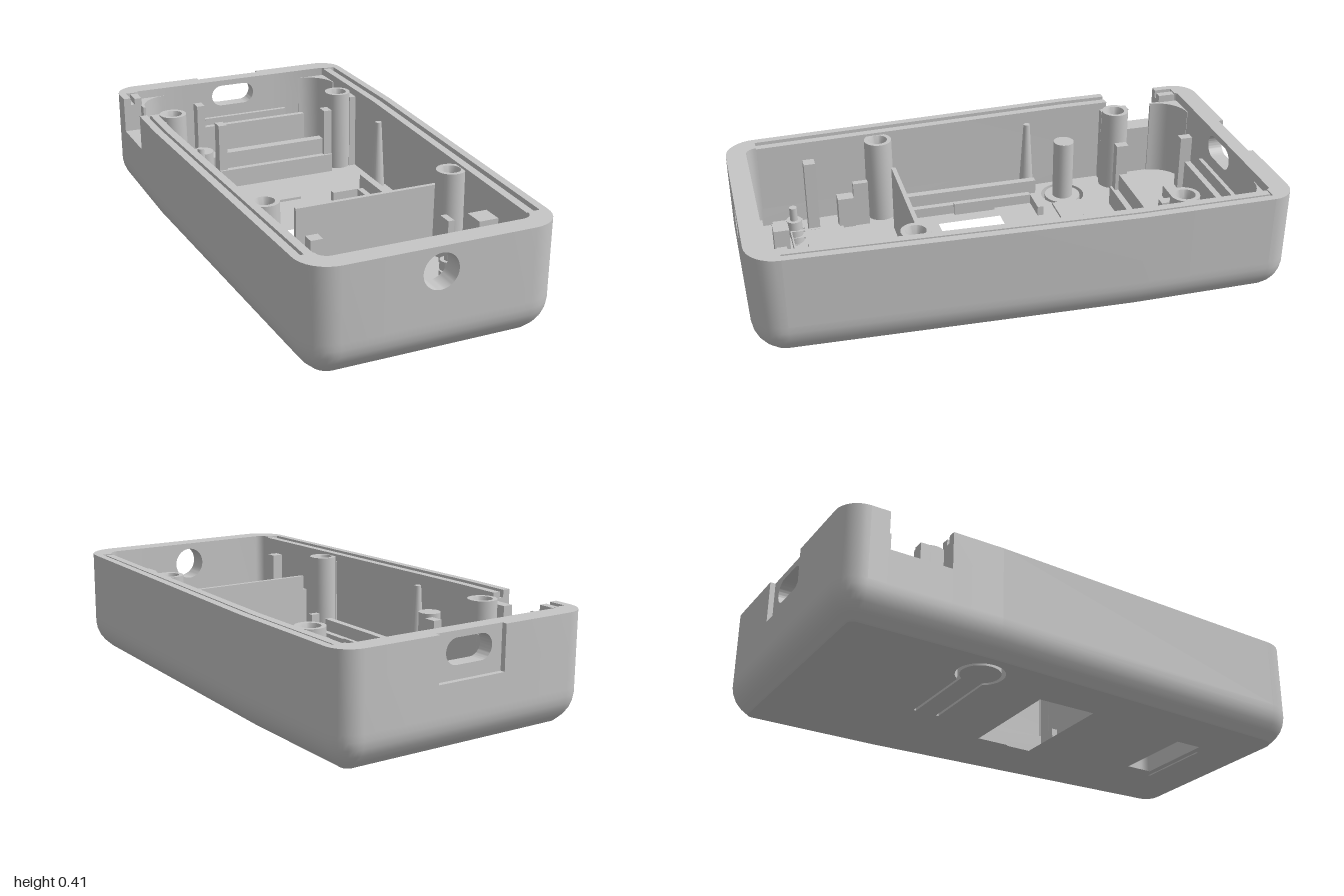
import * as THREE from 'three';
import { toCreasedNormals } from 'three/addons/utils/BufferGeometryUtils.js';

const TOP = 0.405, WALL = 0.078, FLOOR = 0.05, BOWL = 0.13;

// Half of the tapered plan outline as [x, z], from back to front, inset by d
function half(d) {
  const pts = [[0.2, -1 + d]];
  const arc = (cx, cz, r, a0) => {
    for (let i = 0; i <= 8; i++) {
      const a = a0 + (i / 8) * Math.PI / 2;
      pts.push([cx + Math.cos(a) * r, cz + Math.sin(a) * r]);
    }
  };
  arc(0.433, -0.91, 0.09 - d, -Math.PI / 2);
  for (const z of [-0.84, -0.6, -0.4]) pts.push([0.523 - d, z]);
  arc(0.35, 0.88, 0.12 - d, 0);
  pts.push([0.2, 1 - d]);
  return pts;
}
const mirrored = (pts) => pts.map(([x, z]) => [-x, z]);
const ring = (d) => [...half(d), ...mirrored(half(d)).reverse()];
const planShape = (pts) => new THREE.Shape(pts.map(([x, z]) => new THREE.Vector2(x, -z)));
const rectPts = (x0, x1, z0, z1) => [[x0, z0], [x1, z0], [x1, z1], [x0, z1]];

function extrudeUp(shape, y0, y1) {
  const g = new THREE.ExtrudeGeometry(shape, { depth: y1 - y0, bevelEnabled: false, curveSegments: 20 });
  g.rotateX(-Math.PI / 2).translate(0, y0, 0);
  return toCreasedNormals(g, 0.5);
}

// Closed surface through stacked rings [inset, y]
function loft(levels) {
  const rings = levels.map(([d, y]) => ring(d).map(([x, z]) => [x, y, z]));
  const pos = [];
  for (let k = 0; k < rings.length - 1; k++) {
    const A = rings[k], B = rings[k + 1], n = A.length;
    for (let i = 0; i < n; i++) {
      const j = (i + 1) % n;
      pos.push(...A[i], ...B[i], ...A[j], ...A[j], ...B[i], ...B[j]);
    }
  }
  const g = new THREE.BufferGeometry();
  g.setAttribute('position', new THREE.Float32BufferAttribute(pos, 3));
  g.computeVertexNormals();
  return toCreasedNormals(g, 0.5);
}

export function createModel() {
  const model = new THREE.Group();
  model.name = 'enclosureHalf';
  const plastic = new THREE.MeshStandardMaterial({ color: 0xc6c6c6 });
  plastic.name = 'greyPlastic';
  const add = (name, geo) => {
    const m = new THREE.Mesh(geo, plastic);
    m.name = name;
    model.add(m);
    return m;
  };
  const box = (name, x0, x1, y0, y1, z0, z1) =>
    add(name, new THREE.BoxGeometry(x1 - x0, y1 - y0, z1 - z0)
      .translate((x0 + x1) / 2, (y0 + y1) / 2, (z0 + z1) / 2));

  // Rounded lower edge
  add('lowerEdge', loft([[0.065, 0], [0.034, 0.028], [0.016, 0.052], [0.005, 0.078], [0, 0.105],
    [0, BOWL], [WALL - 0.001, BOWL], [WALL - 0.001, FLOOR - 0.01]]));

  // Floor in two layers, so that the display window is stepped; a slit frees the push tongue
  const kx = -0.33, kz = -0.375;
  const slit = () => {
    const p = [[0.07, kz - 0.053]], open = 0.6;
    const arc = (r, a0, a1) => {
      for (let i = 0; i <= 24; i++) {
        const a = a0 + (a1 - a0) * i / 24;
        p.push([kx + r * Math.cos(a), kz + r * Math.sin(a)]);
      }
    };
    arc(0.09, -open, -2 * Math.PI + open);
    p.push([0.07, kz + 0.053], [0.07, kz + 0.042]);
    arc(0.074, -2 * Math.PI + open, -open);
    p.push([0.07, kz - 0.042]);
    return p;
  };
  for (const [y0, y1, e] of [[0, 0.025, 0.012], [0.025, FLOOR, 0]]) {
    const s = planShape(ring(0.065));
    s.holes.push(planShape(rectPts(-0.25 - e, 0.24 + e, -0.07 - e, 0.19 + e)));
    s.holes.push(planShape(rectPts(-0.21, 0.205, 0.6, 0.785)));
    s.holes.push(planShape(slit()));
    add('floor', extrudeUp(s, y0, y1));
  }
  box('tonguePlate', -0.25, 0.07, FLOOR - 0.005, 0.06, -0.45, -0.305);
  add('pushPin', new THREE.CylinderGeometry(0.042, 0.042, 0.27, 24).translate(kx, 0.165, kz));

  // Side walls: plain corners, grooved rims and a low notch on the right side
  const strip = (side, i0, i1, d0, d1, h) => {
    const p = [...half(d0).slice(i0, i1 + 1), ...half(d1).slice(i0, i1 + 1).reverse()];
    add('sideWall', extrudeUp(planShape(side < 0 ? mirrored(p) : p), BOWL, h));
  };
  const grooved = (side, i0, i1) => {
    strip(side, i0, i1, 0, 0.03, TOP);
    strip(side, i0, i1, 0.03, 0.047, 0.375);
    strip(side, i0, i1, 0.047, WALL, 0.4);
  };
  for (const side of [1, -1]) {
    strip(side, 0, 9, 0, WALL, TOP);
    strip(side, 13, 22, 0, WALL, TOP);
  }
  grooved(1, 9, 13);
  grooved(-1, 9, 10);
  strip(-1, 10, 11, 0, WALL, 0.26);
  grooved(-1, 11, 13);

  // End walls with cable hole and connector slot
  const panel = (name, pts, hole, z0, z1) => {
    const s = new THREE.Shape(pts.map(([x, y]) => new THREE.Vector2(x, y)));
    if (hole) s.holes.push(hole);
    const g = new THREE.ExtrudeGeometry(s, { depth: z1 - z0, bevelEnabled: false, curveSegments: 24 });
    add(name, toCreasedNormals(g.translate(0, 0, z0), 0.5));
  };
  const full = rectPts(-0.2, 0.2, BOWL, TOP);
  panel('frontWall', full, new THREE.Path().absarc(0, 0.315, 0.066, 0, Math.PI * 2), 1 - WALL, 1);
  const slot = new THREE.Path();
  slot.absarc(0.052, 0.335, 0.046, -Math.PI / 2, Math.PI / 2);
  slot.absarc(-0.052, 0.335, 0.046, Math.PI / 2, Math.PI * 1.5);
  panel('backWall', full, slot, -0.98, -1 + WALL);
  panel('backWallRecess', [[-0.2, BOWL], [0.2, BOWL], [0.2, TOP], [0.14, TOP], [0.14, 0.24],
    [-0.14, 0.24], [-0.14, TOP], [-0.2, TOP]], null, -1, -0.98);

  // Profile of a hollow screw boss, from the outer foot up and down into the bore
  const boss = [[0.058, 0.04], [0.055, 0.39], [0.038, 0.39], [0.028, 0.36], [0.028, 0.1], [0.0005, 0.1]]
    .map(([r, y]) => new THREE.Vector2(r, y));
  // Rounded filling of an inner back corner
  const corner = [[0.45, -0.8], [0.45, -0.93], [0.32, -0.93]];
  for (let i = 0; i <= 10; i++) {
    const a = -Math.PI / 2 + (i / 10) * Math.PI / 2;
    corner.push([0.32 + 0.12 * Math.cos(a), -0.8 + 0.12 * Math.sin(a)]);
  }

  for (const s of [1, -1]) {
    const pair = (name, x0, x1, y0, y1, z0, z1) =>
      box(name, s > 0 ? x0 : -x1, s > 0 ? x1 : -x0, y0, y1, z0, z1);
    // Screw bosses, webbed to the walls
    for (const [x, z, edge] of [[0.377, -0.615, 0.455], [0.37, 0.4, 0.425]]) {
      add('screwBoss', toCreasedNormals(new THREE.LatheGeometry(boss, 24), 0.5)).position.set(s * x, 0, z);
      pair('bossWeb', x + 0.04, edge, 0.045, 0.37, z - 0.045, z + 0.045);
    }
    add('cornerFilling', extrudeUp(planShape(s < 0 ? mirrored(corner) : corner), 0.045, 0.37));
    // Tapered locating pegs
    add('locatingPeg', new THREE.CylinderGeometry(0.013, 0.032, 0.32, 16).translate(s * 0.387, 0.21, -0.23));
    // Shelves, rails, ribs and hooks along each side
    pair('sideShelf', 0.29, 0.42, 0.045, 0.09, -0.22, 0.35);
    pair('sideRail', 0.315, 0.345, 0.07, 0.14, -0.25, 0.3);
    pair('windowCheek', 0.275, 0.292, 0.045, 0.1, -0.06, 0.11);
    pair('crossRib', 0.18, 0.3, 0.045, 0.09, -0.245, -0.22);
    pair('cornerStop', 0.26, 0.3, 0.045, 0.16, 0.32, 0.345);
    pair('frontHook', 0.3, 0.325, 0.045, 0.24, 0.46, 0.52);
  }

  // Divider and holders across the back bay
  box('divider', -0.24, 0.34, 0.045, 0.325, 0.355, 0.372);
  box('holderBar', -0.2, 0.32, 0.045, 0.2, -0.605, -0.565);
  box('holderStep', -0.2, 0.32, 0.045, 0.13, -0.565, -0.54);
  box('holderPad', -0.2, 0.32, 0.045, 0.1, -0.88, -0.78);
  box('holderPlate', -0.2, 0.32, 0.09, 0.22, -0.88, -0.855);
  for (const [x, z] of [[-0.2, -0.6], [0.285, -0.6], [-0.2, -0.88]]) {
    box('holderPost', x, x + 0.035, 0.045, 0.33, z, z + 0.05);
  }
  box('connectorLedge', -0.14, 0.25, 0.045, 0.24, -0.94, -0.905);
  box('notchCheek', -0.455, -0.415, 0.045, 0.37, -0.69, -0.65);

  // Raised frame and collar around the front window
  for (const [name, e, h] of [['windowFrame', 0.05, 0.08], ['windowCollar', 0.012, 0.11]]) {
    const frame = planShape(rectPts(-0.21 - e, 0.205 + e, 0.6 - e / 2, 0.785 + e / 2));
    frame.holes.push(planShape(rectPts(-0.21, 0.205, 0.6, 0.785)));
    add(name, extrudeUp(frame, 0.045, h));
  }
  for (const [x, z] of [[0.243, 0.625], [-0.247, 0.77]]) {
    add('mountPin', new THREE.CylinderGeometry(0.03, 0.034, 0.1, 20).translate(x, 0.095, z));
    add('mountPinTip', new THREE.CylinderGeometry(0.015, 0.015, 0.06, 16).translate(x, 0.17, z));
  }

  // Clips and blocks in the front bay
  box('clip', 0.29, 0.35, 0.045, 0.32, 0.66, 0.72);
  box('clipHead', 0.275, 0.35, 0.29, 0.345, 0.69, 0.77);
  box('clip', -0.33, -0.285, 0.045, 0.36, 0.665, 0.71);
  box('block', -0.345, -0.295, 0.045, 0.18, 0.52, 0.585);
  box('block', -0.33, -0.25, 0.045, 0.1, 0.73, 0.85);
  box('bar', -0.18, -0.04, 0.045, 0.13, 0.82, 0.86);
  box('barEnd', -0.14, -0.075, 0.045, 0.2, 0.805, 0.865);
  box('frontLedge', -0.32, 0.32, 0.045, 0.12, 0.89, 0.935);
  return model;
}
